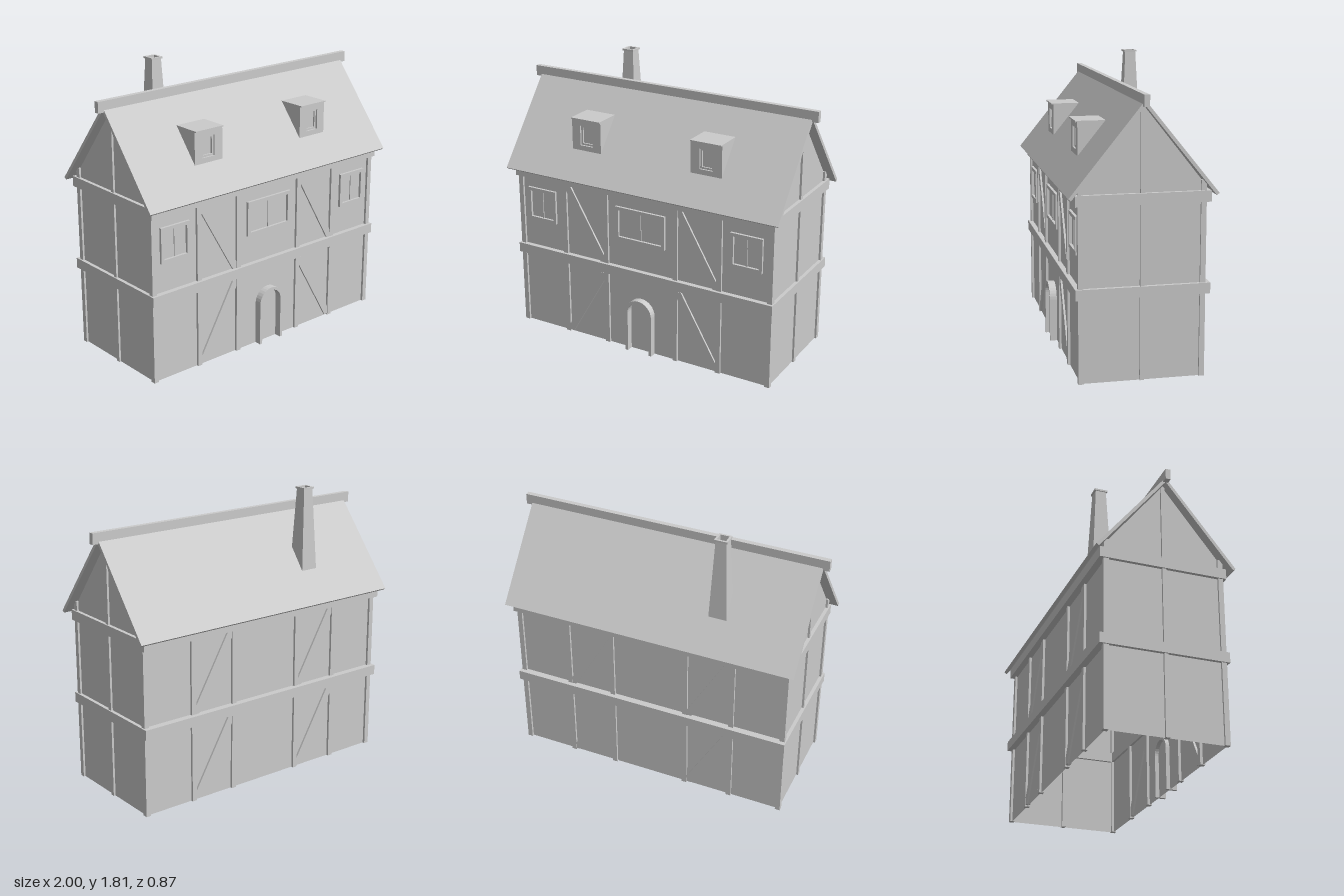
import * as THREE from 'three';

const mat = new THREE.MeshStandardMaterial({ color: 0xcccccc, flatShading: true, side: THREE.DoubleSide });
const WALL_X = 0.9, WALL_Z = 0.36;

export function createModel() {
  const house = new THREE.Group();
  house.name = 'timberHouse';

  const add = (name, geo) => {
    const mesh = new THREE.Mesh(geo, mat);
    mesh.name = name;
    house.add(mesh);
    return mesh;
  };
  // Box given by its extents
  const box = (name, x0, x1, y0, y1, z0, z1) =>
    add(name, new THREE.BoxGeometry(x1 - x0, y1 - y0, z1 - z0)
      .translate((x0 + x1) / 2, (y0 + y1) / 2, (z0 + z1) / 2));
  const polygon = (pts) => new THREE.Shape(pts.map(([x, y]) => new THREE.Vector2(x, y)));
  // Outline in x, y pushed from z0 to z1
  const slab = (name, shape, z0, z1) =>
    add(name, new THREE.ExtrudeGeometry(shape, { depth: z1 - z0, bevelEnabled: false, curveSegments: 8 })
      .translate(0, 0, z0));
  // Outline in z, y pushed from x0 to x1
  const sideSlab = (name, pts, x0, x1) =>
    add(name, new THREE.ExtrudeGeometry(polygon(pts), { depth: x1 - x0, bevelEnabled: false })
      .rotateY(-Math.PI / 2).translate(x1, 0, 0));
  const rect = (x0, x1, y0, y1) => [[x0, y0], [x1, y0], [x1, y1], [x0, y1]];
  const frame = (name, x0, x1, y0, y1, border, z0, z1) => {
    const s = polygon(rect(x0, x1, y0, y1));
    s.holes.push(polygon(rect(x0 + border, x1 - border, y0 + border, y1 - border)));
    return slab(name, s, z0, z1);
  };

  // Wall shell, open at the bottom
  for (const s of [1, -1]) {
    add(s > 0 ? 'frontWall' : 'backWall', new THREE.PlaneGeometry(WALL_X * 2, 1.155)
      .rotateY(s > 0 ? 0 : Math.PI).translate(0, 0.5775, s * WALL_Z));
    add('gableWall', new THREE.ShapeGeometry(polygon(
      [[-WALL_Z, 0], [WALL_Z, 0], [WALL_Z, 1.155], [0, 1.61], [-WALL_Z, 1.155]]))
      .rotateY(s * Math.PI / 2).translate(s * WALL_X, 0, 0));
  }

  // Upright posts
  for (const sz of [1, -1]) {
    const z0 = sz > 0 ? 0.343 : -0.375, z1 = z0 + 0.032;
    for (const x of [-0.897, 0.897]) box('cornerPost', x - 0.016, x + 0.016, 0, 1.17, z0, z1);
    for (const x of [-0.56, -0.251, 0.251, 0.556]) box('wallPost', x - 0.016, x + 0.016, 0, 1.1, z0, z1);
  }
  for (const x of [-0.897, 0.897]) box('gablePost', x - 0.016, x + 0.016, 0, 1.61, -0.013, 0.013);

  // Horizontal beams around the house
  for (const [y0, y1] of [[0.503, 0.567], [1.045, 1.11]]) {
    box('frontBeam', -0.922, 0.922, y0, y1, 0.345, 0.392);
    box('backBeam', -0.922, 0.922, y0, y1, -0.402, -0.345);
    for (const x of [-0.902, 0.902]) box('sideBeam', x - 0.02, x + 0.02, y0, y1, -0.402, 0.392);
  }

  // Diagonal braces; dir 1 falls towards +x, -1 rises towards +x
  const brace = (cx, y, dir, back) => {
    const w = 0.139 * dir, t = 0.027 * dir, h = 0.48;
    slab('brace', polygon([
      [cx - w, y + h], [cx - w + t, y + h], [cx + w, y + 0.045],
      [cx + w, y], [cx + w - t, y], [cx - w, y + h - 0.045]]),
    back ? -0.372 : 0.346, back ? -0.346 : 0.372);
  };
  for (const cx of [-0.406, 0.404]) {
    brace(cx, 0.565, 1, false);
    brace(cx, 0.01, Math.sign(cx), false);
    brace(cx, 0.565, 1, true);
    brace(cx, 0.01, 1, true);
  }

  // Front windows with a middle bar
  for (const [cx, hw] of [[-0.737, 0.107], [0, 0.177], [0.733, 0.107]]) {
    frame('windowFrame', cx - hw, cx + hw, 0.75, 0.973, 0.022, 0.35, 0.376);
    box('windowBar', cx - 0.004, cx + 0.004, 0.772, 0.951, 0.352, 0.366);
  }

  // Arched door surround
  const arch = (r) => {
    const s = new THREE.Shape();
    s.moveTo(r, 0);
    s.lineTo(r, 0.273);
    s.absarc(0, 0.273, r, 0, Math.PI, false);
    s.lineTo(-r, 0);
    return s;
  };
  const surround = arch(0.096);
  const inner = arch(0.077).getPoints(8).reverse();
  // The legs are open at the ground, so the outline runs up outside and back inside
  const outline = surround.getPoints(8).concat(inner);
  slab('doorSurround', new THREE.Shape(outline), 0.335, 0.405);

  // Roof slopes and ridge beam
  for (const s of [1, -1]) {
    sideSlab(s > 0 ? 'frontRoof' : 'backRoof',
      [[0, 1.64], [s * 0.436, 1.102], [s * 0.42, 1.09], [0, 1.61]], -0.96, 0.96);
  }
  box('ridgeBeam', -1, 1, 1.607, 1.675, -0.016, 0.016);

  // Dormers with a recessed window
  for (const cx of [-0.425, 0.422]) {
    const x0 = cx - 0.105, x1 = cx + 0.105;
    sideSlab('dormerBody', [[0.28, 1.47], [0.13, 1.47], [0.28, 1.27]], x0, x1);
    const face = polygon(rect(x0, x1, 1.265, 1.47));
    face.holes.push(polygon(rect(cx - 0.046, cx + 0.046, 1.3, 1.428)));
    slab('dormerFace', face, 0.28, 0.302);
    frame('dormerWindowFrame', cx - 0.046, cx + 0.046, 1.3, 1.428, 0.012, 0.28, 0.29);
    box('dormerRoof', x0, x1, 1.468, 1.476, 0.13, 0.314);
  }

  // Tapered square chimney with a rim and open flue
  const profile = [[0.06, 1.25], [0.034, 1.798], [0.041, 1.798], [0.041, 1.81],
    [0.028, 1.81], [0.028, 1.75], [0, 1.75]];
  add('chimney', new THREE.LatheGeometry(
    profile.map(([r, y]) => new THREE.Vector2(r * Math.SQRT2, y)), 4, Math.PI / 4)
    .translate(-0.42, 0, -0.228));

  return house;
}
